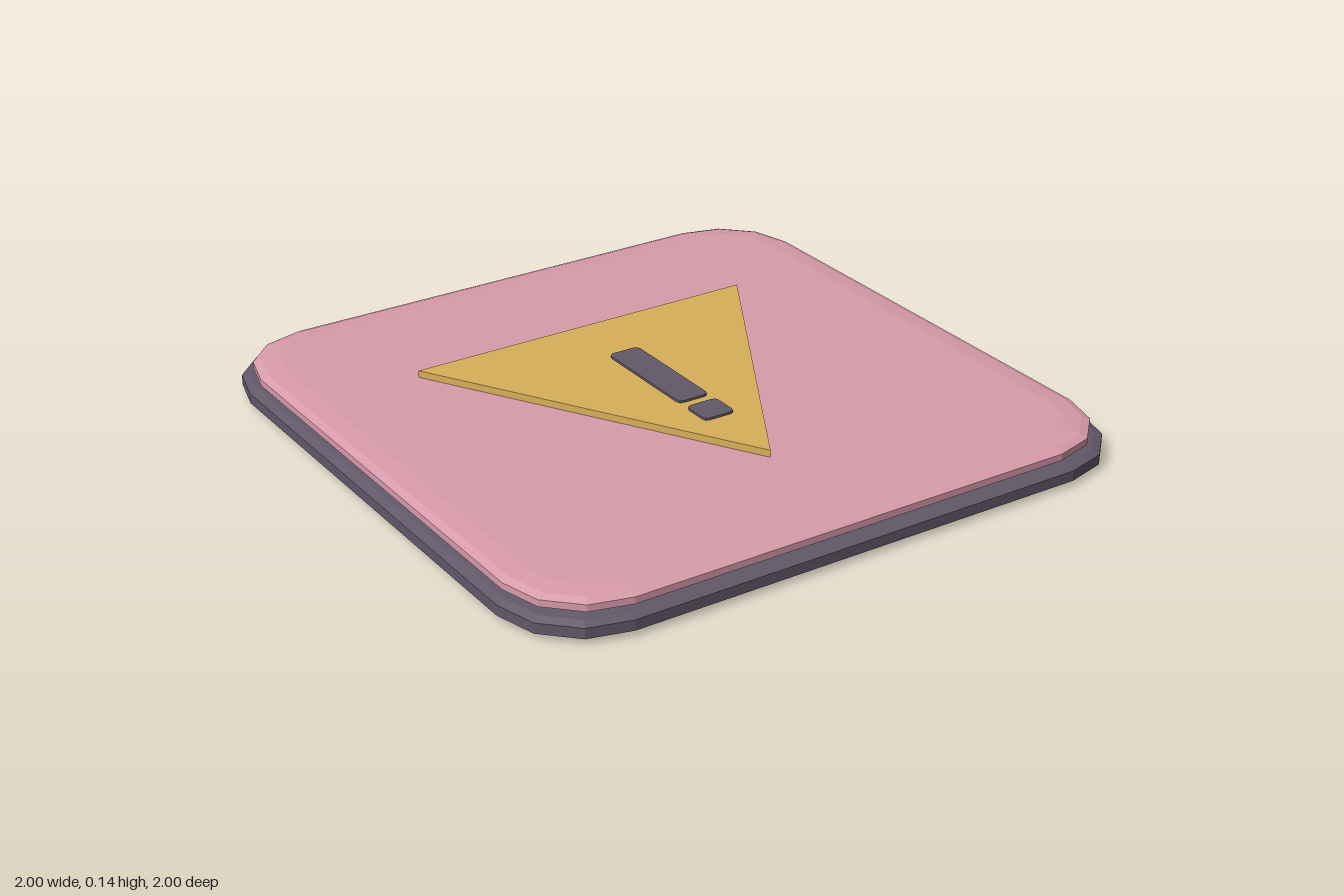
import * as THREE from 'three';

// Solid slab with rounded corners: stacked outlines, each given as [inset, y] from bottom to top
function roundedSlab(halfX, halfZ, radius, segments, profile) {
  const signs = [[1, 1], [-1, 1], [-1, -1], [1, -1]];
  const rings = profile.map(([inset, y]) => {
    const ring = [];
    signs.forEach(([sx, sz], corner) => {
      for (let i = 0; i <= segments; i++) {
        const a = (corner + i / segments) * Math.PI / 2;
        ring.push([
          sx * (halfX - radius) + (radius - inset) * Math.cos(a), y,
          sz * (halfZ - radius) + (radius - inset) * Math.sin(a),
        ]);
      }
    });
    return ring;
  });
  const pos = [];
  const tri = (a, b, c) => pos.push(...a, ...b, ...c);
  const n = rings[0].length;
  const first = rings[0], last = rings[rings.length - 1];
  for (let i = 0; i < n; i++) {
    const j = (i + 1) % n;
    for (let k = 0; k < rings.length - 1; k++) {
      const lo = rings[k], hi = rings[k + 1];
      tri(lo[i], hi[i], lo[j]);
      tri(lo[j], hi[i], hi[j]);
    }
    tri([0, first[0][1], 0], first[i], first[j]);
    tri([0, last[0][1], 0], last[j], last[i]);
  }
  const geometry = new THREE.BufferGeometry();
  geometry.setAttribute('position', new THREE.Float32BufferAttribute(pos, 3));
  geometry.computeVertexNormals();
  return geometry;
}

export function createModel() {
  const material = (name, color) => {
    const m = new THREE.MeshStandardMaterial({ color });
    m.name = name;
    return m;
  };
  const dark = material('dark slate', 0x615869);
  const pink = material('dusty pink', 0xd99bac);
  const yellow = material('mustard yellow', 0xd9b05a);

  const group = new THREE.Group();
  group.name = 'warningTile';
  const add = (name, geometry, mat, z = 0) => {
    const mesh = new THREE.Mesh(geometry, mat);
    mesh.name = name;
    mesh.position.z = z;
    group.add(mesh);
  };

  // Dark base and the pink panel on top, both with shallow bevels
  add('base', roundedSlab(1, 1, 0.26, 3,
    [[0.08, 0], [0.025, 0.006], [0, 0.018], [0, 0.05], [0.025, 0.06], [0.08, 0.066]]), dark);
  add('panel', roundedSlab(0.97, 0.97, 0.25, 3,
    [[0.08, 0.065], [0.025, 0.069], [0, 0.076], [0, 0.097], [0.025, 0.106], [0.08, 0.112]]), pink);

  // Triangular plate pointing to the front
  const outline = new THREE.Shape([
    new THREE.Vector2(-0.58, 0.445), new THREE.Vector2(0, -0.555), new THREE.Vector2(0.58, 0.445),
  ]);
  const triangle = new THREE.ExtrudeGeometry(outline, { depth: 0.022, bevelEnabled: false });
  triangle.rotateX(-Math.PI / 2);
  triangle.translate(0, 0.112, 0);
  add('warningTriangle', triangle, yellow);

  // Exclamation mark: bar and dot
  const markProfile = [[0, 0.132], [0, 0.141]];
  add('markBar', roundedSlab(0.052, 0.193, 0.016, 2, markProfile), dark, -0.023);
  add('markDot', roundedSlab(0.052, 0.05, 0.016, 2, markProfile), dark, 0.255);

  return group;
}
